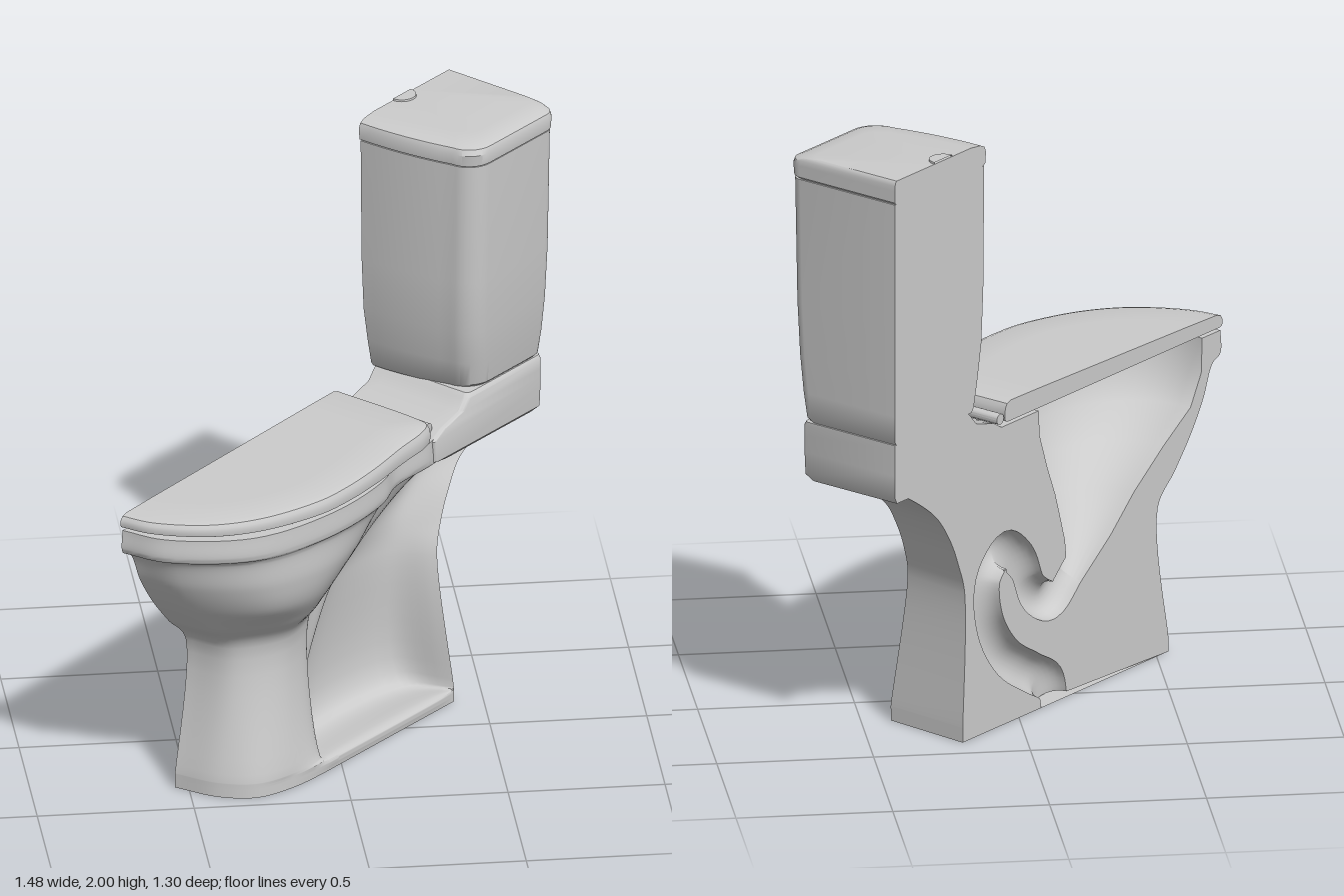
import * as THREE from 'three';
import { toCreasedNormals } from 'three/addons/utils/BufferGeometryUtils.js';

// Half of a toilet, sliced along its length. Local axes: u forward (-x), y up, w outward (+z).
const P = (u, y, w) => new THREE.Vector3(-u, y, w);
const material = new THREE.MeshStandardMaterial({ color: 0xcccccc, side: THREE.DoubleSide });
const RIM = 1.006;

function part(name, geometry, crease = 0.6) {
  const mesh = new THREE.Mesh(toCreasedNormals(geometry, crease), material);
  mesh.name = name;
  return mesh;
}

// Skin between rows of points; closed rings are capped at both ends.
function skin(rows, closed = false) {
  const n = rows[0].length, pos = [], index = [];
  rows.forEach(r => r.forEach(p => pos.push(p.x, p.y, p.z)));
  for (let i = 0; i + 1 < rows.length; i++) {
    for (let j = 0; j < (closed ? n : n - 1); j++) {
      const k = (j + 1) % n, a = i * n + j, b = i * n + k;
      index.push(a, b, b + n, a, b + n, a + n);
    }
  }
  if (closed) {
    [0, rows.length - 1].forEach((i, top) => {
      const c = pos.length / 3, row = rows[i];
      const mid = row[0].clone().lerp(row[n - 1], 0.5);
      pos.push(mid.x, mid.y, mid.z);
      for (let j = 0; j < n; j++) {
        const a = i * n + j, b = i * n + (j + 1) % n;
        if (top) index.push(c, a, b); else index.push(c, b, a);
      }
    });
  }
  const g = new THREE.BufferGeometry();
  g.setAttribute('position', new THREE.Float32BufferAttribute(pos, 3));
  g.setIndex(index);
  return g;
}

// Half plan outline: bowed front, rounded outer corners, straight back.
function plan(y, uf, ub, w, bow, rf, rb) {
  const pts = [];
  for (let i = 0; i < 8; i++) {
    const t = i / 8;
    pts.push(P(uf - bow * t * t, y, t * (w - rf)));
  }
  for (let i = 0; i <= 8; i++) {
    const a = i / 8 * Math.PI / 2;
    pts.push(P(uf - bow - rf + rf * Math.cos(a), y, w - rf + rf * Math.sin(a)));
  }
  for (let i = 0; i <= 6; i++) {
    const a = Math.PI / 2 * (1 + i / 6);
    pts.push(P(ub + rb + rb * Math.cos(a), y, w - rb + rb * Math.sin(a)));
  }
  pts.push(P(ub, y, 0));
  return pts;
}

// Solid from levels of y, front u, back u and half width, sharing bow and corner radii
const planSolid = (name, bow, rf, rb, levels) =>
  part(name, skin(levels.map(l => plan(...l, bow, rf, rb)), true));

// Flat face from a list of 2D points
const flat = pts => new THREE.ShapeGeometry(new THREE.Shape(pts));
const side = p => new THREE.Vector2(p.x, p.y);

// Outer skin of bowl, column, side recess and rear flange, as rows from base to rim
function bodyRows() {
  // y, tip u, then (u, w) of column front, column side, column rear, ridge, recess, flange
  const sections = [
    [.05, .626, .525, .25, .39, .295, .245, .285, .19, .16, -.33, .15, -.41, .305],
    [.5, .571, .455, .22, .36, .25, .22, .215, .04, .15, -.3, .125, -.4, .245],
    [.6, .66, .525, .262, .38, .32, .21, .27, -.06, .165, -.32, .13, -.43, .235],
    [.7, .742, .575, .335, .4, .385, .21, .335, -.16, .19, -.37, .14, -.475, .232],
    [.8, .805, .615, .355, .4, .415, .18, .385, -.28, .225, -.45, .17, -.548, .23],
    [.905, .852, .64, .358, .42, .42, .12, .41, -.44, .285, -.57, .25, -.69, .29],
    [.93, .894, .68, .363, .38, .443, .1, .425, -.2, .37, -.5, .355, -.74, .355],
  ].map(([y, tip, ...c]) => {
    const pts = [];
    for (let i = 0; i < c.length; i += 2) pts.push(P(c[i], y, c[i + 1]));
    const [rear, ridge] = [pts[2], pts[3]];
    // Valley between bowl and ridge, and the step behind the ridge
    const valley = rear.clone().lerp(ridge, 0.4).setZ(rear.z + (ridge.z - rear.z) * 0.8);
    const step = ridge.clone().add(P(-.05, 0, y < .9 ? -.035 : -.01));
    const back = pts[5].clone().add(P(-.02, 0, 0)).setZ(0);
    return [P(tip, y, 0), P(tip - .03, y, .15), ...pts.slice(0, 3), valley, ridge, step,
      ...pts.slice(4), back];
  });
  // Base plate fills the recess; rim rises straight from the last section
  const plate = y => sections[0].map((p, j) =>
    P(-p.x, y, j > 3 && p.z > 0 ? .305 : p.z));
  const rim = sections[sections.length - 1].map(p => p.clone().setY(RIM));
  const all = [plate(0), plate(.038), ...sections, rim];
  const tracks = rim.map((_, j) =>
    new THREE.CatmullRomCurve3(all.map(r => r[j])).getPoints(72));
  return tracks[0].map((_, i) => {
    const row = tracks.map(t => t[i]), back = row.pop();
    return [...new THREE.CatmullRomCurve3(row).getPoints(63), back];
  });
}

function createBody(group) {
  const rows = bodyRows();
  group.add(part('bowlAndPedestal', skin(rows), 0.7));

  // Trap pipe: half tube along an S-shaped path
  const path = new THREE.CatmullRomCurve3([
    [.14, .42], [.04, .345], [-.065, .40], [-.125, .52], [-.215, .585], [-.30, .51],
    [-.29, .36], [-.2, .22], [-.07, .13], [.02, .07], [.04, 0]].map(([u, y]) => P(u, y, 0)));
  const r = 0.065, tube = [];
  for (let i = 0; i <= 60; i++) {
    const p = path.getPoint(i / 60), t = path.getTangent(i / 60);
    const ring = [];
    for (let k = 0; k <= 12; k++) {
      const a = k / 12 * Math.PI, c = r * Math.cos(a);
      ring.push(new THREE.Vector3(p.x + t.y * c, Math.max(p.y - t.x * c, 0), r * Math.sin(a)));
    }
    tube.push(ring);
  }
  group.add(part('trapPipe', skin(tube), 1.2));
  const weirSide = tube.map(ring => ring[0]), tongueSide = tube.map(ring => ring[12]);

  // Bowl hollow: upright rim wall, then half ellipses narrowing to the trap
  const hollow = [
    [-.04, RIM, .80, RIM, .335], [-.035, .92, .795, .89, .335], [.005, .8, .74, .79, .305],
    [.045, .7, .60, .70, .25], [.075, .6, .45, .59, .19], [.095, .53, .33, .48, .13],
  ].map(([u0, y0, u1, y1, w]) => ({ b: P(u0, y0, 0), f: P(u1, y1, 0), w }));
  const wall = key => hollow.map(h => h[key]);
  const frontWall = [...wall('f'), ...weirSide], backWall = [...wall('b'), ...tongueSide];
  hollow.push({ b: tongueSide[0], f: weirSide[0], w: r });
  const lining = hollow.map(({ b, f, w }) => {
    const ring = [];
    for (let k = 0; k <= 32; k++) {
      const a = k / 32 * Math.PI;
      const p = f.clone().lerp(b, (1 - Math.cos(a)) / 2);
      p.z = w * Math.pow(Math.max(Math.sin(a), 0), 0.85);
      ring.push(p);
    }
    return ring;
  });
  group.add(part('bowlLining', skin(lining), 0.8));

  // Flat cut faces before and behind the water path
  const front = rows.map(q => q[0]), back = rows.map(q => q[q.length - 1]);
  group.add(part('frontCutFace', flat([...front, ...frontWall].map(side))));
  group.add(part('rearCutFace', flat([...back, ...backWall].map(side))));

  // Rim top and underside
  const lay = (name, pts, y) => {
    const g = flat(pts.map(p => new THREE.Vector2(p.x, -p.z)));
    group.add(part(name, g.rotateX(-Math.PI / 2).translate(0, y, 0)));
  };
  lay('rimTop', [...rows[rows.length - 1], ...[...lining[0]].reverse()], RIM);
  lay('baseUnderside', rows[0], 0);
}

function createSeat(group) {
  // Closed seat and lid, slightly higher at the hinge
  const outline = new THREE.CatmullRomCurve3([
    [.905, 0], [.885, .106], [.788, .265], [.65, .37], [.438, .442], [.304, .451],
    [.148, .441], [-.02, .416], [-.15, .4], [-.202, .375], [-.214, .3], [-.214, 0],
  ].map(([u, w]) => P(u, 0, w))).getPoints(80);
  const levels = [[1.016, .975, 0], [1.021, .995, 0], [1.034, 1, .004], [1.046, .995, .015],
    [1.056, .98, .02], [1.061, .94, .022], [1.062, .7, .022]];
  group.add(part('seatLid', skin(levels.map(([y, s, tilt]) => outline.map(p => {
    const x = -0.346 + (p.x + 0.346) * s;
    return new THREE.Vector3(x, y + tilt * (x + 0.9), p.z * s);
  })), true)));
  // Bumpers between seat and rim
  [[.82, .1], [.5, .38], [.1, .39]].forEach(([u, w]) => {
    const bumper = part('seatBumper', new THREE.BoxGeometry(0.05, 0.025, 0.025));
    bumper.position.copy(P(u, 1.01, w));
    group.add(bumper);
  });
  const hinge = part('hingeBar', new THREE.CylinderGeometry(0.018, 0.018, 0.34, 16).rotateX(Math.PI / 2));
  hinge.position.copy(P(-0.237, 1.035, 0.17));
  group.add(hinge);
}

export function createModel() {
  const model = new THREE.Group();
  model.name = 'halfToilet';
  createBody(model);
  createSeat(model);

  // Shelf that carries the tank, stepping down to the hinge
  model.add(planSolid('tankShelf', 0, .02, .02, [
    [.905, -.30, -.768, .35], [.925, -.23, -.778, .37], [1.0, -.22, -.778, .374],
    [1.03, -.27, -.778, .374], [1.055, -.36, -.778, .374], [1.09, -.39, -.778, .374],
    [1.103, -.405, -.778, .366]]));

  // Tank tapering toward its foot
  model.add(planSolid('tank', .04, .085, .04, [
    [1.10, -.385, -.77, .358], [1.115, -.374, -.778, .373], [1.2, -.356, -.778, .388],
    [1.32, -.335, -.778, .402], [1.5, -.325, -.778, .413], [1.915, -.32, -.778, .422]]));

  // Tank lid with softened edges
  model.add(planSolid('tankLid', .04, .085, .045, [
    [1.912, -.335, -.77, .41], [1.922, -.314, -.778, .428], [1.96, -.311, -.778, .432],
    [1.978, -.318, -.778, .425], [1.988, -.338, -.775, .402], [1.994, -.39, -.77, .35]]));

  // Flush button, halved by the cut
  const button = part('flushButton',
    new THREE.CylinderGeometry(0.045, 0.05, 0.03, 24, 1, false, -Math.PI / 2, Math.PI));
  button.position.copy(P(-0.53, 1.985, 0));
  model.add(button);

  // Set the cut plane diagonally
  model.rotation.y = Math.PI / 4;
  model.position.set(-0.1, 0, -0.1);
  const root = new THREE.Group();
  root.name = 'toiletSection';
  root.add(model);
  return root;
}
